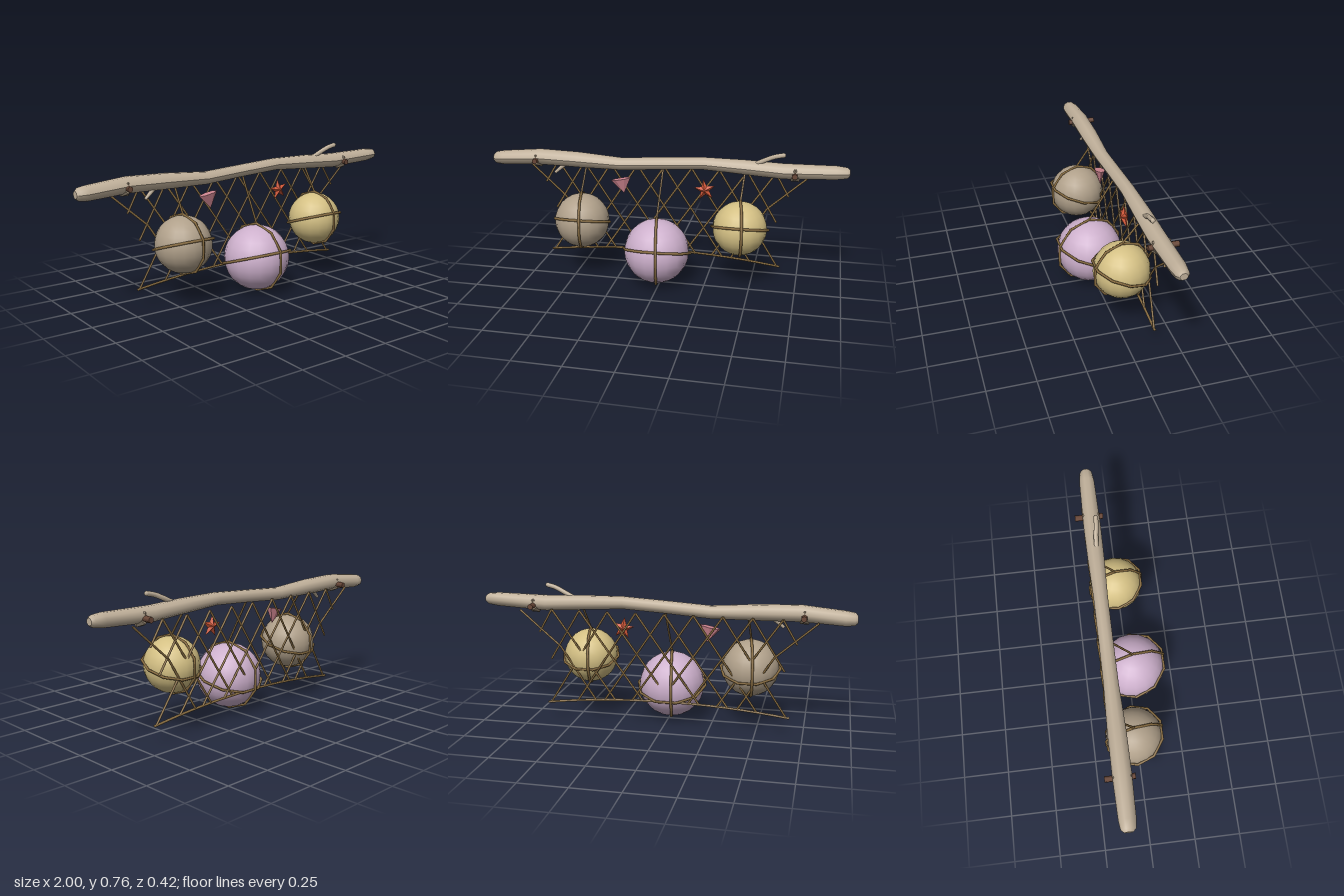
import * as THREE from 'three';

const mat = (name, color) => {
  const m = new THREE.MeshStandardMaterial({ color });
  m.name = name;
  return m;
};

export function createModel() {
  const model = new THREE.Group();
  const wood = mat('driftwood', 0xc0b09a);
  const knotWood = mat('knotWood', 0xa0907a);
  const rope = mat('rope', 0x8a6e42);
  const peg = mat('pegBrown', 0x6a4838);
  const taupe = mat('taupeGlass', 0xb0a08a);
  const lilac = mat('lilacGlass', 0xcdb0cc);
  const straw = mat('strawGlass', 0xd4c084);
  const coral = mat('starfishRed', 0xd4593a);
  const pink = mat('shellPink', 0xcf8590);
  const V = (x, y, z) => new THREE.Vector3(x, y, z);

  const add = (name, geo, material, parent = model) => {
    const mesh = new THREE.Mesh(geo, material);
    mesh.name = name;
    parent.add(mesh);
    return mesh;
  };
  // Straight round bar between two points
  const bar = (name, a, b, r0, r1, material, sides = 6, parent = model) => {
    const mesh = add(name, new THREE.CylinderGeometry(r1, r0, a.distanceTo(b), sides), material, parent);
    mesh.position.copy(a).lerp(b, 0.5);
    mesh.quaternion.setFromUnitVectors(V(0, 1, 0), b.clone().sub(a).normalize());
    return mesh;
  };

  // Driftwood log: [x, centre height, radius]
  const stations = [
    [-1, 0.645, 0.02], [-0.985, 0.646, 0.034], [-0.94, 0.648, 0.04], [-0.72, 0.665, 0.044],
    [-0.5, 0.66, 0.043], [-0.25, 0.65, 0.035], [0, 0.667, 0.034], [0.22, 0.68, 0.034],
    [0.45, 0.672, 0.04], [0.65, 0.662, 0.042], [0.93, 0.671, 0.037], [0.985, 0.672, 0.03], [1, 0.672, 0.018],
  ];
  const logGeo = new THREE.CylinderGeometry(1, 1, stations.length - 1, 10, stations.length - 1);
  logGeo.rotateZ(-Math.PI / 2);
  const p = logGeo.attributes.position;
  for (let i = 0; i < p.count; i++) {
    const [x, cy, r] = stations[Math.round(p.getX(i) + (stations.length - 1) / 2)];
    p.setXYZ(i, x, cy + p.getY(i) * r, -0.12 + p.getZ(i) * r * 1.12);
  }
  logGeo.computeVertexNormals();
  add('log', logGeo, wood);

  // Broken twigs
  const twig = new THREE.CatmullRomCurve3([V(0.49, 0.69, -0.112), V(0.56, 0.725, -0.107), V(0.605, 0.745, -0.1), V(0.65, 0.756, -0.097)]);
  add('upperTwig', new THREE.TubeGeometry(twig, 8, 0.013, 7), wood);
  const tip = add('upperTwigTip', new THREE.SphereGeometry(0.013, 7, 5), wood);
  tip.position.set(0.65, 0.756, -0.097);
  bar('lowerTwig', V(-0.57, 0.635, -0.11), V(-0.63, 0.582, -0.1), 0.014, 0.008, wood, 7);

  // Knots with pegs through them
  for (const x of [-0.735, 0.715]) {
    const knot = add('knot', new THREE.IcosahedronGeometry(0.055, 0), knotWood);
    knot.position.set(x, 0.655, -0.12);
    knot.scale.x = 0.75;
    bar('peg', V(x, 0.652, -0.208), V(x, 0.652, -0.054), 0.016, 0.016, peg, 6);
  }

  // Net: mirrored diagonals, cut short at the sides, with a bottom rope
  const net = new THREE.Group();
  net.name = 'net';
  net.position.x = -0.01;
  model.add(net);
  const chordY = (x) => 0.145 - 0.045 * (x / 0.66) ** 2;
  const netZ = (y) => -0.135 - 0.028 * (y - 0.1) / 0.53;
  const at = (x, y) => V(x, y, netZ(y));
  const strand = (a, b) => bar('netStrand', a, b, 0.006, 0.006, rope, 5, net);
  for (const s of [-1, 1]) {
    for (let k = -4; k <= 4; k++) {
      const x0 = 0.155 * k;
      const reach = k === 4 ? 0.22 : k === 3 ? 0.5 : 1;
      const x1 = x0 + 0.34 * reach;
      const y1 = THREE.MathUtils.lerp(0.635, chordY(x0 + 0.34), reach);
      strand(at(s * x0, 0.635), at(s * x1, reach < 1 ? y1 : chordY(x1)));
    }
    // Outermost strand starts wider and bends inward
    strand(at(s * 0.8, 0.625), at(s * 0.58, 0.43));
    strand(at(s * 0.58, 0.43), at(s * 0.39, chordY(0.39)));
  }
  const chord = [];
  for (let i = -4; i <= 4; i++) chord.push(at(i * 0.167, chordY(i * 0.167)));
  add('bottomRope', new THREE.TubeGeometry(new THREE.CatmullRomCurve3(chord), 16, 0.007, 5), rope, net);

  // Glass floats, each held by two rope hoops and a hanger
  const floats = [
    ['leftEndFloat', -0.455, 0.335, -0.025, 0.153, taupe],
    ['middleFloat', -0.015, 0.203, 0.022, 0.18, lilac],
    ['rightEndFloat', 0.437, 0.355, -0.022, 0.148, straw],
  ];
  for (const [name, x, y, z, r, glass] of floats) {
    const group = new THREE.Group();
    group.name = name;
    group.position.set(x, y, z);
    model.add(group);
    add('ball', new THREE.SphereGeometry(r, 18, 14), glass, group);
    const hoop = new THREE.TorusGeometry(r * 1.055, 0.0075, 5, 10);
    add('girthHoop', hoop, rope, group).rotation.x = Math.PI / 2 - 0.32;
    const upright = add('uprightHoop', hoop.clone().rotateZ(Math.PI / 2), rope, group);
    upright.rotation.y = Math.PI / 2 + 0.17;
    bar('hanger', V(0, r * 1.05, 0), V(0.008, 0.64 - y, -0.12 - z), 0.006, 0.006, rope, 5, group);
  }

  // Starfish: ten-point outline rising to a front and a back peak
  const rim = [];
  for (let i = 0; i < 10; i++) {
    const a = Math.PI / 2 + 0.15 + i * Math.PI / 5;
    const r = i % 2 ? 0.026 : 0.062;
    rim.push([Math.cos(a) * r, Math.sin(a) * r, 0]);
  }
  const star = [];
  rim.forEach((a, i) => {
    const b = rim[(i + 1) % 10];
    star.push(...a, ...b, 0, 0, 0.021, ...b, ...a, 0, 0, -0.021);
  });
  const starGeo = new THREE.BufferGeometry();
  starGeo.setAttribute('position', new THREE.Float32BufferAttribute(star, 3));
  starGeo.computeVertexNormals();
  add('starfish', starGeo, coral).position.set(0.23, 0.535, -0.098);

  // Shell: flattened low cone, point down
  const shellGeo = new THREE.ConeGeometry(0.058, 0.085, 7).toNonIndexed();
  shellGeo.rotateX(Math.PI);
  shellGeo.scale(1, 1, 0.45);
  shellGeo.computeVertexNormals();
  const shell = add('shell', shellGeo, pink);
  shell.position.set(-0.238, 0.525, -0.105);
  shell.rotation.z = 0.2;

  return model;
}
